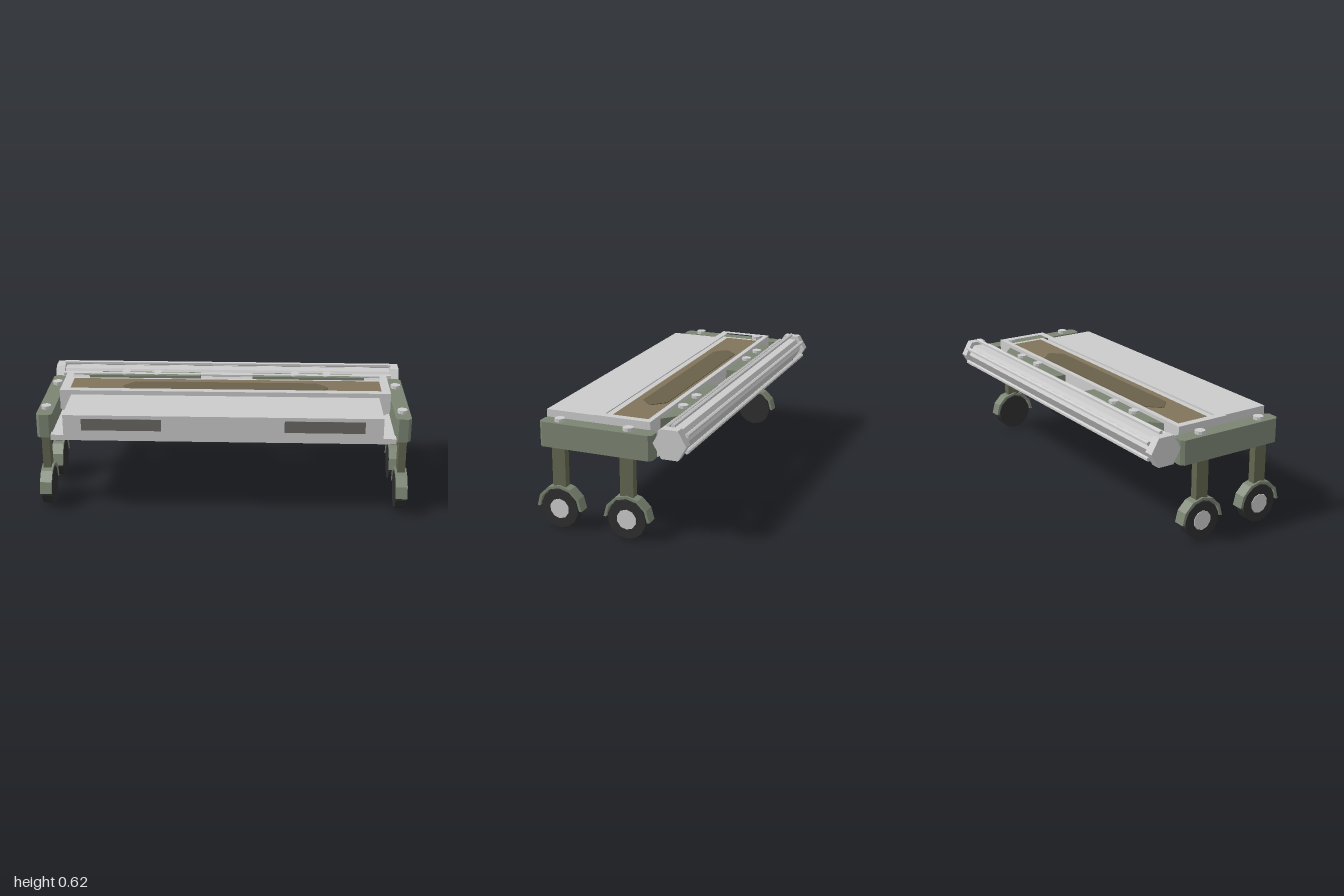
import * as THREE from 'three';

const mat = (color) => new THREE.MeshStandardMaterial({ color, flatShading: true });

export function createModel() {
  const root = new THREE.Group();
  const grey = mat(0xcccccc), green = mat(0x7b8573), post = mat(0x62664f);
  const rubber = mat(0x2e2e2e), panel = mat(0x6a6865), brown = mat(0x81745a), inlay = mat(0x6a614b);

  const add = (name, geo, material, parent = root) => {
    const m = new THREE.Mesh(geo, material);
    m.name = name;
    parent.add(m);
    return m;
  };
  // Box from its limits
  const box = (x0, x1, y0, y1, z0, z1) => new THREE.BoxGeometry(x1 - x0, y1 - y0, z1 - z0)
    .translate((x0 + x1) / 2, (y0 + y1) / 2, (z0 + z1) / 2);
  const path = (pts) => pts.map(([a, b]) => new THREE.Vector2(a, b));
  // Outline given in x,z and raised from y0 to y1
  const plan = (pts, y0, y1, hole) => {
    const flip = (p) => path(p.map(([x, z]) => [x, -z]));
    const shape = new THREE.Shape(flip(pts));
    if (hole) shape.holes.push(new THREE.Path(flip(hole)));
    return new THREE.ExtrudeGeometry(shape, { depth: y1 - y0, bevelEnabled: false })
      .rotateX(-Math.PI / 2).translate(0, y0, 0);
  };
  const rect = (x, z0, z1) => [[-x, z0], [x, z0], [x, z1], [-x, z1]];
  // Prism lying along x
  const axle = (r, x0, x1, y, z, sides, start = Math.PI / 2) =>
    new THREE.CylinderGeometry(r, r, x1 - x0, sides, 1, false, start)
      .rotateZ(Math.PI / 2).translate((x0 + x1) / 2, y, z);
  const bolt = (x, y, z, h) => new THREE.CylinderGeometry(0.027, 0.027, h, 10).translate(x, y + h / 2, z);

  // Deck: floor slab and front housing
  add('floorSlab', box(-0.92, 0.92, 0.43, 0.46, -0.235, 0.41), grey);
  add('frontHousing', box(-0.85, 0.85, 0.45, 0.575, 0.11, 0.413), grey);
  for (const s of [-1, 1]) {
    add('frontPanel', box(s * 0.54 - 0.213, s * 0.54 + 0.213, 0.49, 0.555, 0.405, 0.415), panel);
  }

  // Tray: flared body, raised rim, recessed floor with inlay
  const flare = new THREE.Shape(path([[-0.85, 0.455], [0.85, 0.455], [0.913, 0.49], [0.913, 0.565], [-0.913, 0.565], [-0.913, 0.49]]));
  add('trayBody', new THREE.ExtrudeGeometry(flare, { depth: 0.3, bevelEnabled: false }).translate(0, 0, -0.19), grey);
  add('trayRim', plan(rect(0.913, -0.19, 0.11), 0.565, 0.6, rect(0.873, -0.163, 0.07)), grey);
  add('trayFloor', box(-0.873, 0.873, 0.56, 0.57, -0.163, 0.07), brown);
  add('trayInlay', plan([[-0.575, -0.05], [-0.515, -0.11], [0.515, -0.11], [0.575, -0.05],
    [0.575, -0.03], [0.515, 0.025], [-0.515, 0.025], [-0.575, -0.03]], 0.565, 0.574), inlay);

  // Rear brackets with bolts
  for (const s of [-1, 1]) {
    add('rearBracket', plan([[s * 0.15, -0.19], [s * 0.79, -0.19], [s * 0.72, -0.254], [s * 0.15, -0.254]], 0.46, 0.58), green);
    for (const x of [0.395, 0.578]) add('bracketBolt', bolt(s * x, 0.58, -0.226, 0.015), grey);
  }

  // Roller: six-sided core, slats around it, end caps
  const roller = new THREE.Group();
  roller.name = 'roller';
  root.add(roller);
  const ry = 0.527, rz = -0.325;
  add('rollerCore', axle(0.064, -0.95, 0.95, ry, rz, 6, 0), grey, roller);
  for (let i = 0; i < 6; i++) {
    const a = Math.PI / 2 + i * Math.PI / 3;
    const slat = new THREE.CylinderGeometry(0.0115, 0.0115, 1.9, 6, 1, false, Math.PI / 2)
      .rotateZ(Math.PI / 2);
    add('rollerSlat', slat, grey, roller).position.set(0, ry + 0.082 * Math.sin(a), rz + 0.082 * Math.cos(a));
  }
  for (const s of [-1, 1]) {
    add('rollerCap', axle(0.0875, s * 0.97 - 0.025, s * 0.97 + 0.025, ry, rz, 6, 0), grey, roller);
  }

  // Fender: faceted half ring in z,y extruded along x
  const arc = (r, i) => [r * Math.cos(i * Math.PI / 6), r * Math.sin(i * Math.PI / 6)];
  const ring = [];
  for (let i = 0; i <= 6; i++) ring.push(arc(0.125, i));
  for (let i = 6; i >= 0; i--) ring.push(arc(0.111, i));
  const fender = new THREE.ExtrudeGeometry(new THREE.Shape(path(ring)), { depth: 0.064, bevelEnabled: false })
    .translate(0, 0, -0.032).rotateY(Math.PI / 2);

  // Side rails, each carrying two wheeled legs
  for (const s of [-1, 1]) {
    const side = new THREE.Group();
    side.name = s > 0 ? 'leftSide' : 'rightSide';
    root.add(side);
    const a = s * 0.915, b = s, c = 0.017 * s;
    add('sideRail', plan([[a + c, -0.232], [b - c, -0.232], [b, -0.215], [b, 0.363],
      [b - c, 0.38], [a + c, 0.38], [a, 0.363], [a, -0.215]], 0.43, 0.56), green, side);
    for (const z of [0.28, -0.093]) {
      add('railBolt', bolt(s * 0.958, 0.56, z, 0.018), grey, side);
      const x = s * 0.967;
      add('legPost', box(x - 0.021, x + 0.021, 0.222, 0.44, z - 0.036, z + 0.036), post, side);
      add('fender', fender, green, side).position.set(x, 0.105, z);
      add('tire', axle(0.103, x - 0.028, x + 0.028, 0.105, z, 14), rubber, side);
      const h = s * 0.984;
      add('hub', axle(0.053, h - 0.014, h + 0.014, 0.105, z, 10), grey, side);
    }
  }
  return root;
}
